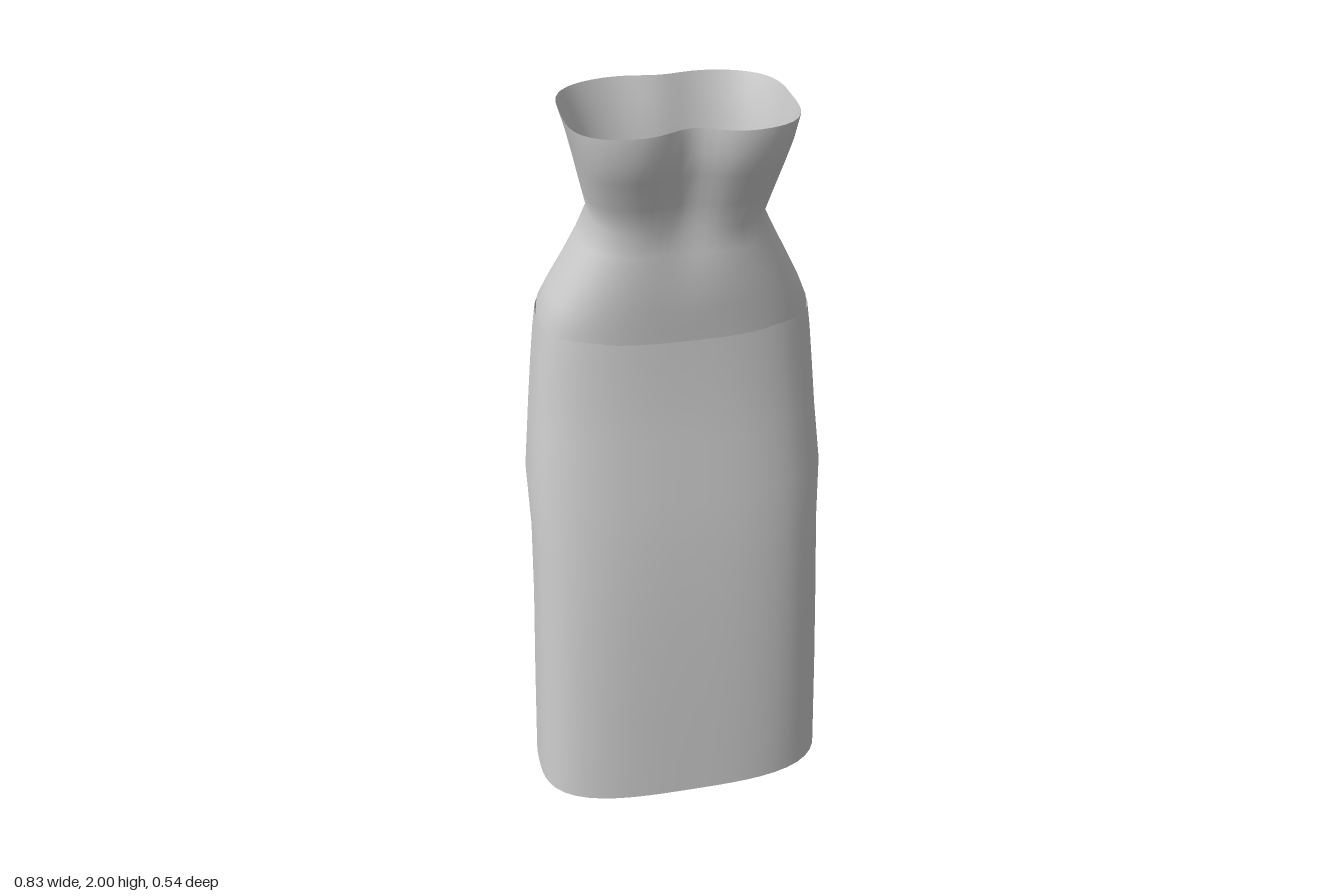
import * as THREE from 'three';

const SIDES = 64;

// Closed ring: rounded box outline with separate front and back depth and centre dips.
// Section: [y, halfWidth, zMid, zFront, zBack, frontSquareness, backSquareness, frontDip, backDip]
function ring([y, w, mid, front, back, nf, nb, dipF, dipB]) {
  const pts = [];
  for (let j = 0; j < SIDES; j++) {
    const a = (j / SIDES) * Math.PI * 2;
    const c = Math.cos(a), s = Math.sin(a);
    const n = s >= 0 ? nf : nb;
    const r = 1 / Math.pow(Math.abs(c) ** n + Math.abs(s) ** n, 1 / n);
    const x = w * c * r;
    const dip = Math.exp(-((x / 0.075) ** 2));
    const z = s >= 0
      ? mid + (front - mid) * s * r - dipF * dip * s
      : mid + (mid - back) * s * r - dipB * dip * s;
    pts.push(x, y, z);
  }
  return pts;
}

// Open tube of cloth through the sections, listed from bottom to top.
function cloth(name, sections, material) {
  const index = [];
  for (let i = 0; i < sections.length - 1; i++) {
    for (let j = 0; j < SIDES; j++) {
      const a = i * SIDES + j, b = i * SIDES + ((j + 1) % SIDES);
      index.push(a, a + SIDES, b, b, a + SIDES, b + SIDES);
    }
  }
  const geo = new THREE.BufferGeometry();
  geo.setAttribute('position', new THREE.Float32BufferAttribute(sections.flatMap(ring), 3));
  geo.setIndex(index);
  geo.computeVertexNormals();
  const mesh = new THREE.Mesh(geo, material);
  mesh.name = name;
  return mesh;
}

export function createModel() {
  const group = new THREE.Group();
  group.name = 'skirt';
  const fabric = new THREE.MeshStandardMaterial({ color: 0xcccccc, side: THREE.DoubleSide });
  fabric.name = 'greyFabric';

  // Long straight panel from hem to hips
  group.add(cloth('skirtPanel', [
    [0.00, 0.413, 0.04, 0.272, -0.198, 3.2, 2.5, 0.000, 0.000],
    [0.30, 0.405, 0.04, 0.265, -0.194, 3.2, 2.5, 0.000, 0.000],
    [0.58, 0.396, 0.04, 0.255, -0.192, 3.2, 2.5, 0.000, 0.003],
    [0.80, 0.391, 0.03, 0.242, -0.220, 3.1, 2.5, 0.000, 0.010],
    [0.98, 0.396, 0.01, 0.226, -0.252, 3.0, 2.5, 0.000, 0.020],
    [1.15, 0.379, 0.00, 0.204, -0.273, 3.0, 2.6, 0.000, 0.028],
    [1.28, 0.367, 0.00, 0.193, -0.271, 3.0, 2.6, 0.000, 0.028],
    [1.38, 0.357, 0.00, 0.187, -0.260, 3.0, 2.6, 0.000, 0.025],
    [1.44, 0.349, 0.00, 0.184, -0.247, 3.0, 2.6, 0.000, 0.022],
  ], fabric));

  // Gathered top tucked into the panel, narrow at the waist, flared at the rim
  group.add(cloth('gatheredWaist', [
    [1.38, 0.351, 0.00, 0.182, -0.254, 3.0, 2.6, 0.000, 0.025],
    [1.46, 0.343, 0.00, 0.186, -0.240, 3.0, 2.6, 0.000, 0.020],
    [1.52, 0.318, 0.01, 0.193, -0.200, 3.0, 2.6, 0.000, 0.014],
    [1.60, 0.278, 0.02, 0.198, -0.148, 3.0, 2.7, 0.004, 0.006],
    [1.67, 0.243, 0.03, 0.199, -0.118, 3.0, 2.9, 0.010, 0.000],
    [1.73, 0.214, 0.03, 0.199, -0.105, 3.2, 3.2, 0.018, 0.000],
    [1.80, 0.230, 0.04, 0.220, -0.113, 3.5, 3.2, 0.028, 0.006],
    [1.88, 0.248, 0.05, 0.250, -0.128, 3.8, 3.0, 0.038, 0.012],
    [1.94, 0.262, 0.05, 0.272, -0.141, 4.0, 2.9, 0.044, 0.016],
    [2.00, 0.279, 0.04, 0.272, -0.156, 4.0, 2.9, 0.046, 0.018],
  ], fabric));

  return group;
}
